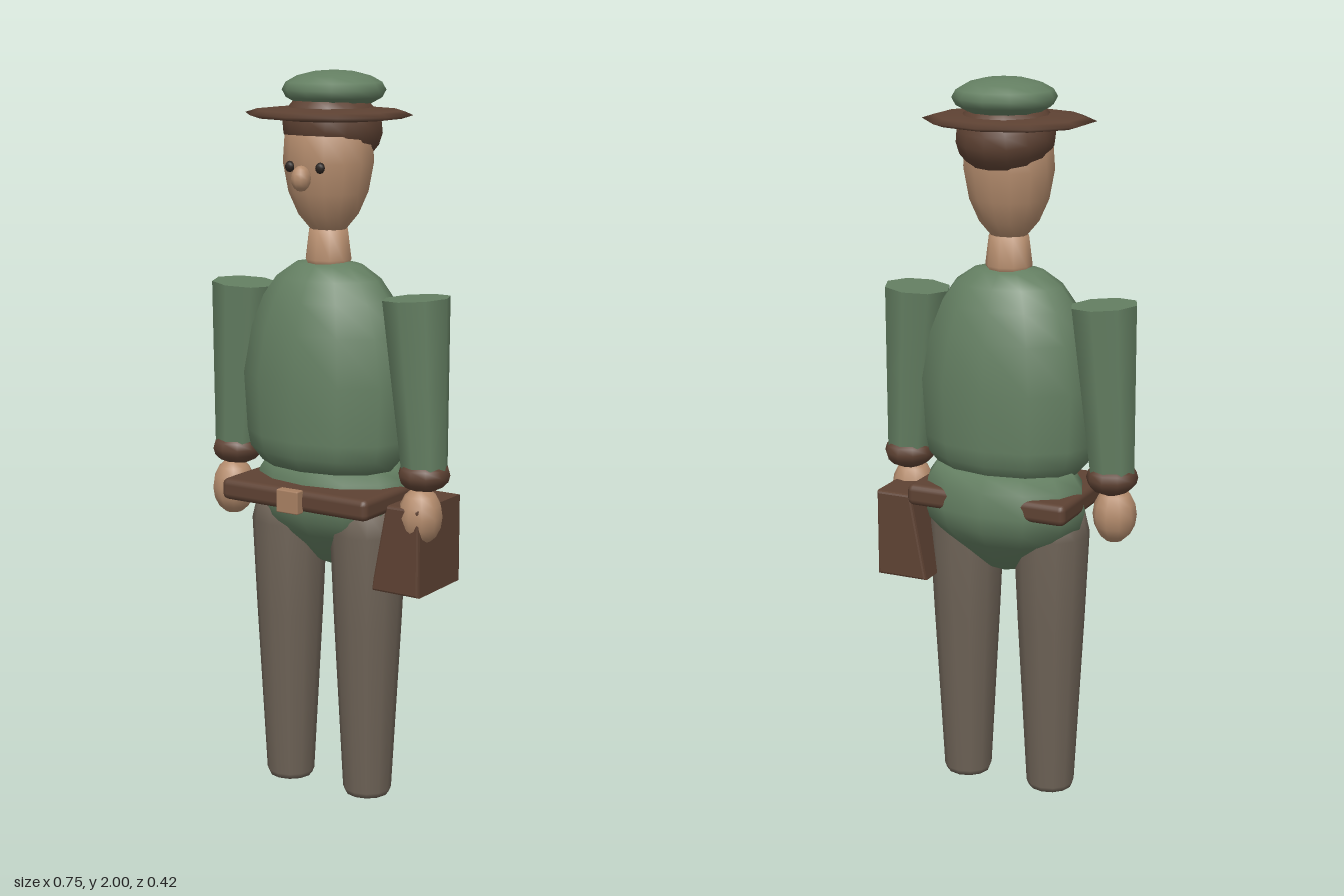
import * as THREE from 'three';
import { RoundedBoxGeometry } from 'three/addons/geometries/RoundedBoxGeometry.js';

const mat = (name, color) => {
  const m = new THREE.MeshStandardMaterial({ color });
  m.name = name;
  return m;
};

export function createModel() {
  const green = mat('green cloth', 0x647f62);
  const brown = mat('brown leather', 0x5e4233);
  const skin = mat('skin', 0xb48c6d);
  const trousers = mat('grey brown trousers', 0x6d6256);
  const dark = mat('dark eyes', 0x2a231f);
  const tan = mat('tan buckle', 0xa88062);

  const model = new THREE.Group();
  model.name = 'uniformedFigure';

  const add = (name, geometry, material, x = 0, y = 0, z = 0) => {
    const mesh = new THREE.Mesh(geometry, material);
    mesh.name = name;
    mesh.position.set(x, y, z);
    model.add(mesh);
    return mesh;
  };
  // Ellipsoid with a vertex column on the front and back
  const ball = (rx, ry, rz, seg = 12, rows = 8) =>
    new THREE.SphereGeometry(1, seg, rows).rotateY(Math.PI / 2).scale(rx, ry, rz);
  // Turned profile (radius, height) flattened in depth
  const turned = (points, seg, depth = 1) =>
    new THREE.LatheGeometry(points.map(p => new THREE.Vector2(...p)), seg).scale(1, 1, depth);

  // Hat
  add('hatCrown', ball(0.14, 0.052, 0.138), green, 0, 1.948, -0.026);
  add('hatBrim', ball(0.236, 0.02, 0.208, 10, 6), brown, 0, 1.886, 0);

  // Head
  add('head', turned([[0, 1.565], [0.045, 1.575], [0.083, 1.62], [0.11, 1.68], [0.125, 1.76],
    [0.12, 1.83], [0.09, 1.88], [0, 1.9]], 14, 0.94), skin);
  const hair = add('hair', ball(0.134, 0.105, 0.138, 14, 10), brown, 0, 1.85, -0.02);
  hair.rotation.x = -0.2;
  add('nose', ball(0.026, 0.034, 0.03, 10, 8), skin, 0, 1.724, 0.131);
  for (const s of [1, -1]) {
    add(s > 0 ? 'leftEye' : 'rightEye', ball(0.013, 0.015, 0.013, 8, 6), dark, s * 0.048, 1.752, 0.113);
  }
  add('neck', turned([[0, 1.47], [0.055, 1.48], [0.064, 1.5], [0.054, 1.58], [0, 1.59]], 10), skin);

  // Jacket body and its lower part
  add('torso', turned([[0, 0.93], [0.2, 0.935], [0.236, 0.975], [0.245, 1.02], [0.255, 1.18],
    [0.23, 1.31], [0.195, 1.395], [0.155, 1.45], [0.1, 1.487], [0, 1.505]], 12, 0.69), green);
  add('hips', turned([[0, 0.638], [0.05, 0.653], [0.11, 0.695], [0.18, 0.745], [0.225, 0.79],
    [0.24, 0.84], [0.228, 0.905], [0.2, 0.945], [0, 0.957]], 12, 0.67), green, 0, 0, -0.027);

  // Belt
  add('belt', new RoundedBoxGeometry(0.472, 0.06, 0.345, 2, 0.018), brown, 0, 0.865, 0.009);
  add('buckle', new RoundedBoxGeometry(0.07, 0.064, 0.03, 1, 0.004), tan, 0, 0.865, 0.19);

  // Pouch hanging at the left hip, leaning on its inner side
  const pouchShape = new THREE.Shape([[0.193, 0.623], [0.328, 0.623], [0.328, 0.853], [0.237, 0.853]]
    .map(p => new THREE.Vector2(...p)));
  add('pouch', new THREE.ExtrudeGeometry(pouchShape, {
    depth: 0.209, bevelThickness: 0.008, bevelSize: 0.007, bevelSegments: 2,
  }), brown, 0, 0, -0.142);

  for (const s of [1, -1]) {
    const side = s > 0 ? 'left' : 'right';

    // Trouser leg with a slightly rounded hem
    add(side + 'Leg', turned([[0, 0], [0.062, 0], [0.068, 0.015], [0.094, 0.5], [0.106, 0.76],
      [0.09, 0.83], [0, 0.85]], 12, 0.98), trousers, s * 0.13, 0, 0);

    // Sleeve, leaning outward towards the wrist
    const sleeve = add(side + 'Sleeve', new THREE.CylinderGeometry(0.093, 0.064, 0.46, 8, 2),
      green, s * 0.292, 1.185, 0);
    sleeve.rotation.z = s * 0.065;

    add(side + 'Cuff', ball(0.07, 0.048, 0.077, 10, 8), brown, s * 0.307, 0.942, 0);
    add(side + 'Hand', ball(0.06, 0.08, 0.064, 10, 8), skin, s * 0.308, 0.832, 0.02);
  }

  return model;
}
